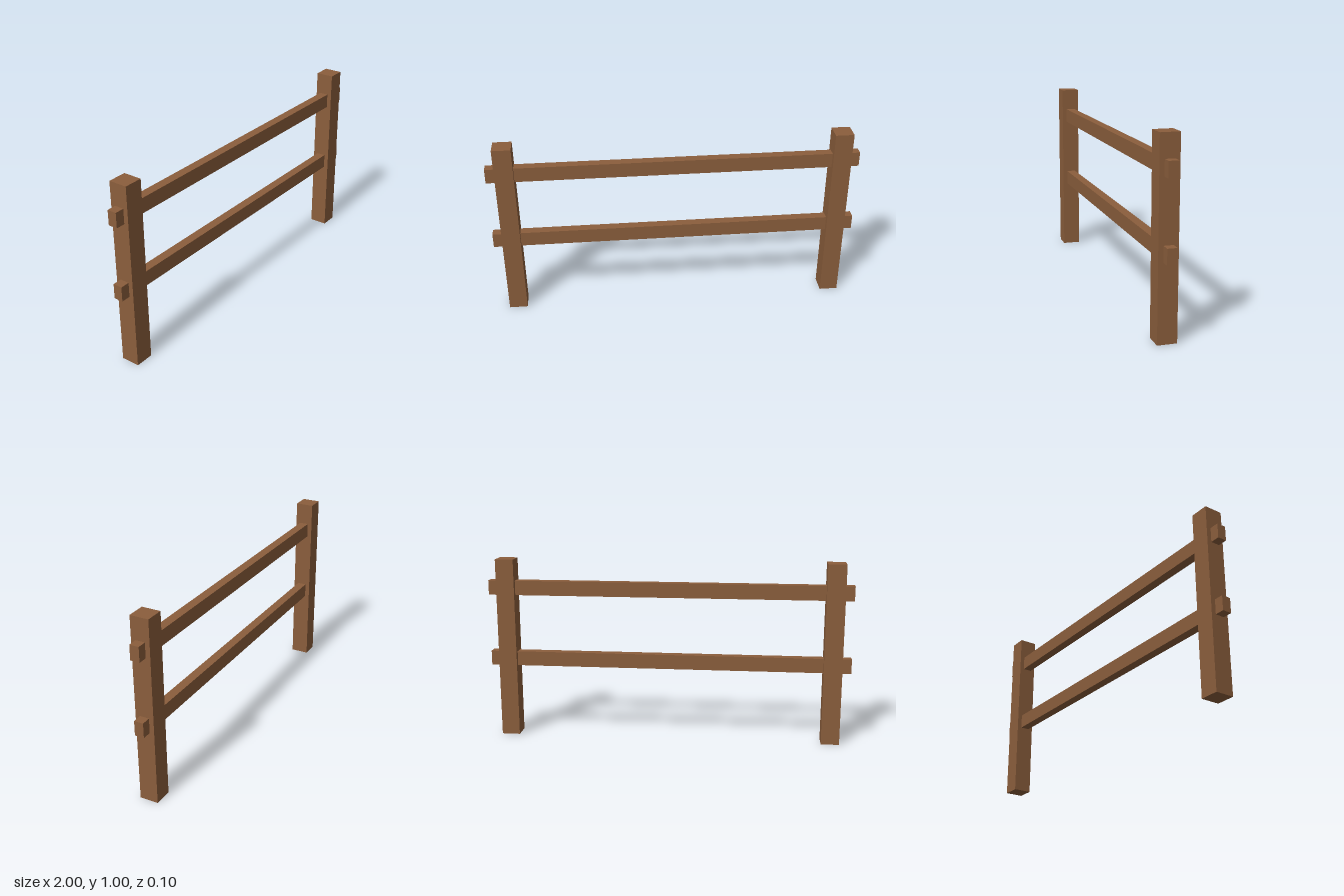
import * as THREE from 'three';

export function createModel() {
  const fence = new THREE.Group();
  fence.name = 'fence';
  const wood = new THREE.MeshStandardMaterial({ color: 0x8b5e3c });

  const addBeam = (name, size, position) => {
    const beam = new THREE.Mesh(new THREE.BoxGeometry(...size), wood);
    beam.name = name;
    beam.position.set(...position);
    fence.add(beam);
  };

  // Square posts
  for (const [name, x] of [['leftPost', 0.9], ['rightPost', -0.9]]) {
    addBeam(name, [0.1, 1, 0.1], [x, 0.5, 0]);
  }

  // Rails running through both posts
  for (const [name, y] of [['lowerRail', 0.44], ['upperRail', 0.84]]) {
    addBeam(name, [2, 0.08, 0.05], [0, y, 0]);
  }

  return fence;
}
